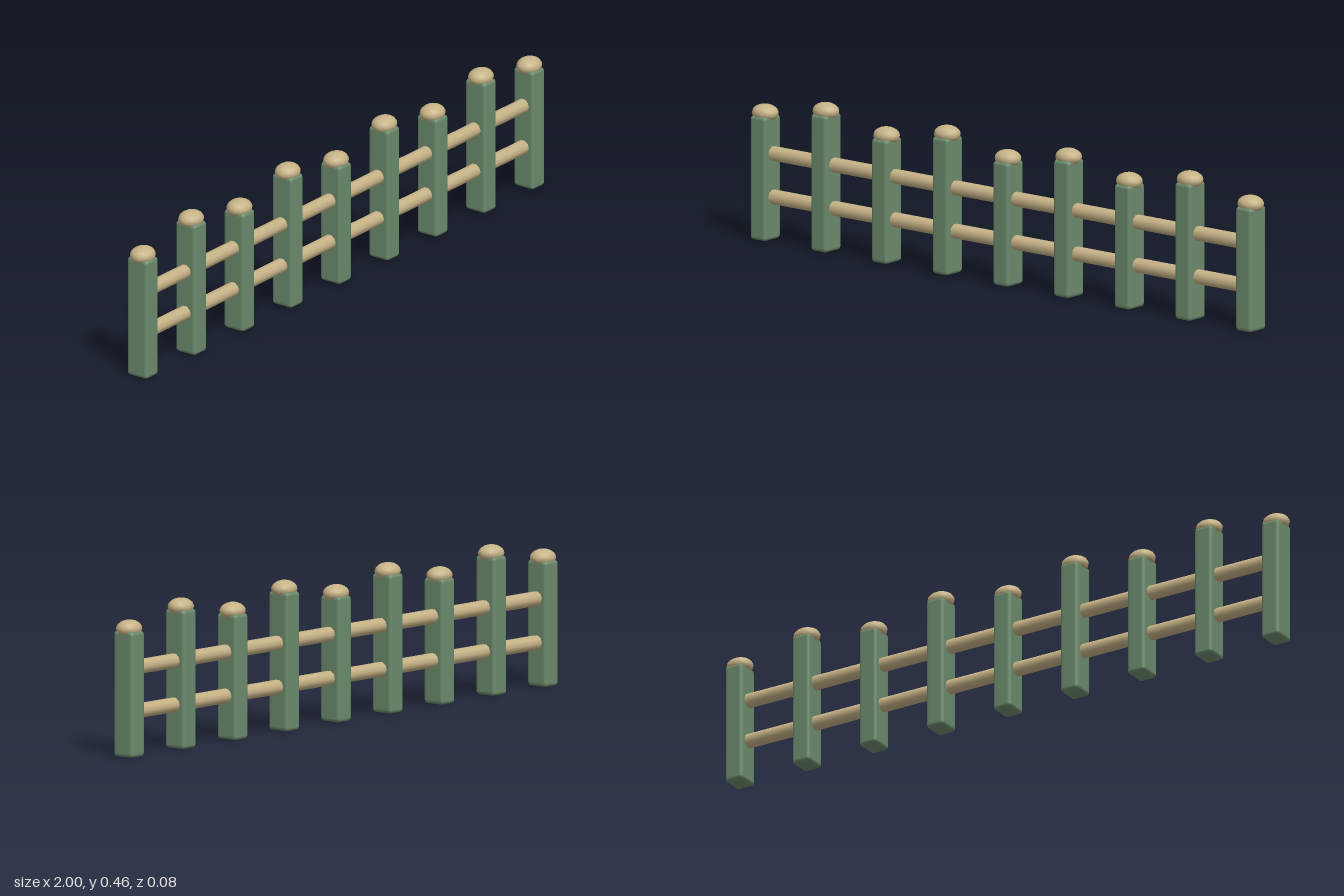
import * as THREE from 'three';
import { RoundedBoxGeometry } from 'three/addons/geometries/RoundedBoxGeometry.js';

export function createModel() {
  const group = new THREE.Group();
  group.name = 'fence';

  const green = new THREE.MeshStandardMaterial({ color: 0x6b8a6c });
  green.name = 'sage green';
  const tan = new THREE.MeshStandardMaterial({ color: 0xc6b286 });
  tan.name = 'straw tan';

  const add = (name, geometry, material, x, y) => {
    const mesh = new THREE.Mesh(geometry, material);
    mesh.name = name;
    mesh.position.set(x, y, 0);
    group.add(mesh);
    return mesh;
  };

  // Posts alternate short and tall, each with a flattened round cap
  const count = 9, spacing = 0.2393;
  const capGeometry = new THREE.SphereGeometry(1, 16, 12).scale(0.043, 0.0265, 0.037);
  for (let i = 0; i < count; i++) {
    const x = (i - (count - 1) / 2) * spacing;
    const height = i % 2 ? 0.423 : 0.383;
    add('post', new RoundedBoxGeometry(0.062, height, 0.076, 2, 0.011), green, x, height / 2);
    add('postCap', capGeometry, tan, x, height + 0.007);
  }

  // Two round rails running through the posts
  const railGeometry = new THREE.CylinderGeometry(0.0225, 0.0225, 1.92, 10).rotateZ(Math.PI / 2);
  add('lowerRail', railGeometry, tan, 0, 0.134);
  add('upperRail', railGeometry, tan, 0, 0.268);

  return group;
}
